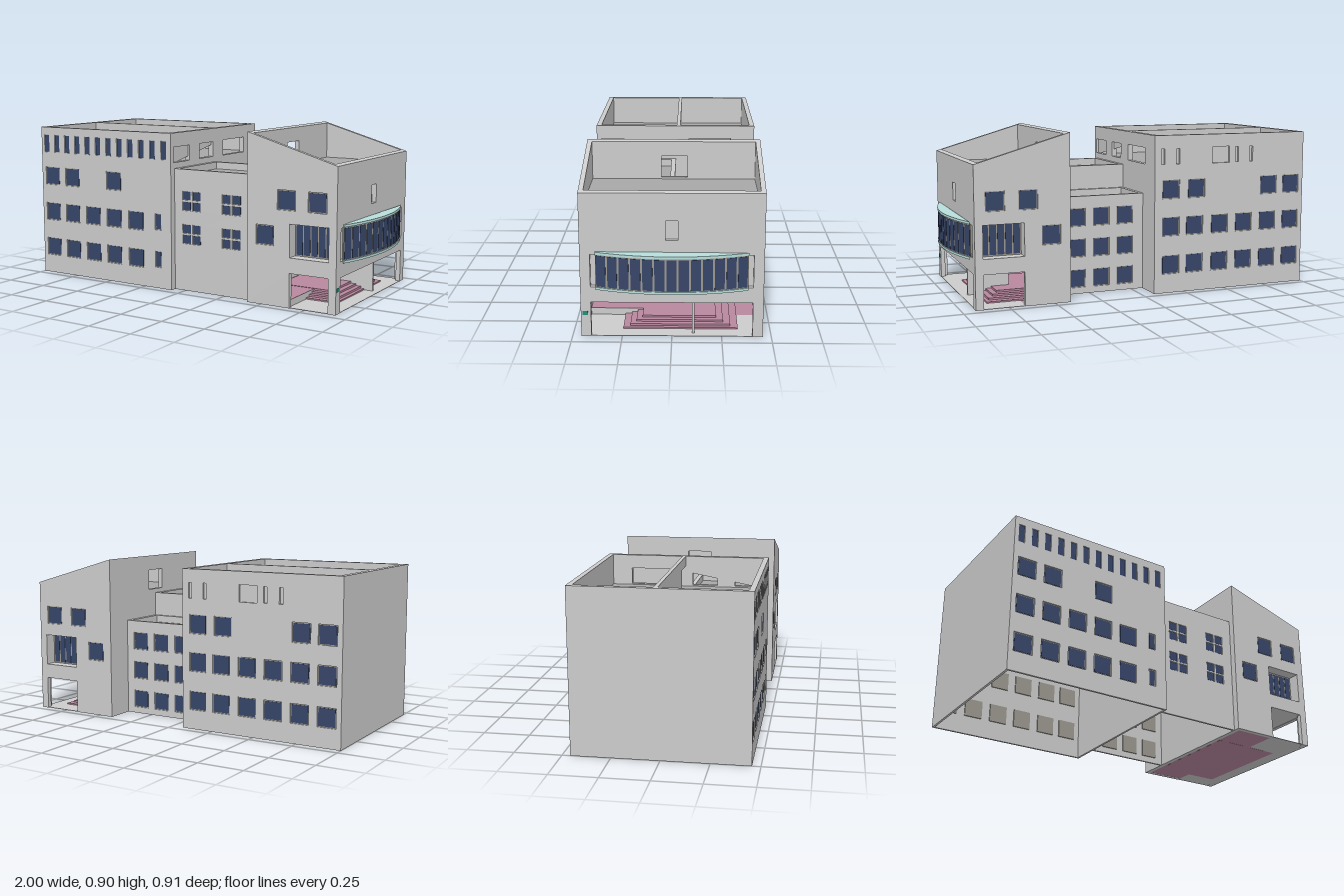
import * as THREE from 'three';

const mat = (color) => new THREE.MeshStandardMaterial({ color });
const GREY = mat(0xcccccc), ROOF = mat(0xa8a8a8), FRAME = mat(0x9a978f), BLUE = mat(0x364568);
const TEAL = mat(0xb8dedb), PINK = mat(0xb8889f), GREEN = mat(0x1f8f78);
const THIN = 0.012, THICK = 0.025; // wall thicknesses

export function createModel() {
  const root = new THREE.Group();
  root.name = 'building';

  const section = (name) => {
    const g = new THREE.Group();
    g.name = name;
    root.add(g);
    return g;
  };

  // Box given by its limits on each axis
  const block = (parent, name, x0, x1, y0, y1, z0, z1, m = GREY) => {
    const mesh = new THREE.Mesh(new THREE.BoxGeometry(x1 - x0, y1 - y0, z1 - z0), m);
    mesh.position.set((x0 + x1) / 2, (y0 + y1) / 2, (z0 + z1) / 2);
    mesh.name = name;
    parent.add(mesh);
  };

  // Upright slab from an outline and rectangular holes [centre u, centre y, width, height]
  const slab = (outline, holes, depth) => {
    const s = new THREE.Shape(outline.map(([u, y]) => new THREE.Vector2(u, y)));
    for (const [u, y, w, h] of holes) {
      const a = w / 2, b = h / 2;
      s.holes.push(new THREE.Path([[-a, -b], [-a, b], [a, b], [a, -b]]
        .map(([p, q]) => new THREE.Vector2(u + p, y + q))));
    }
    return new THREE.ExtrudeGeometry(s, { depth, bevelEnabled: false });
  };

  // Wall across x, from z to z + depth
  const wallX = (parent, name, outline, holes, z, depth) => {
    const mesh = new THREE.Mesh(slab(outline, holes, depth), GREY);
    mesh.position.z = z;
    mesh.name = name;
    parent.add(mesh);
  };

  // Wall across z (outline in z, y), from x - depth to x
  const wallZ = (parent, name, outline, holes, x, depth) => {
    const mesh = new THREE.Mesh(slab(outline, holes, depth), GREY);
    mesh.rotation.y = -Math.PI / 2;
    mesh.position.x = x;
    mesh.name = name;
    parent.add(mesh);
    return mesh;
  };

  const rect = (u0, u1, y1, y0 = 0) => [[u0, y0], [u1, y0], [u1, y1], [u0, y1]];

  // Recessed windows in a wall whose outer face is at z and looks towards dir
  const windows = (parent, list, z, dir, border = 0.005, inset = 0.012, panes = 1) => {
    for (const [x, y, w, h] of list) {
      const g = new THREE.Group();
      g.name = 'window';
      g.position.set(x, y, z - dir * inset);
      block(g, 'windowFrame', -w / 2, w / 2, -h / 2, h / 2, -0.006, 0.006, FRAME);
      const pitch = (w - border) / panes;
      for (let i = 0; i < panes; i++) {
        const c = (i - (panes - 1) / 2) * pitch, half = (pitch - border) / 2;
        block(g, 'windowPane', c - half, c + half, -h / 2 + border, h / 2 - border,
          dir > 0 ? 0 : -0.008, dir > 0 ? 0.008 : 0, BLUE);
      }
      parent.add(g);
    }
  };

  // ---- Main block: thin walls, thicker parapet, divider and sunken roof ----
  const main = section('mainBlock');
  const X1 = -0.069, Z0 = -0.457, Z1 = 0.456;
  const cols = [-0.92, -0.77, -0.617, -0.465, -0.31];
  const front = [-0.92, -0.77, -0.465].map((x) => [x, 0.583, 0.104, 0.105]);
  for (const y of [0.37, 0.158]) {
    cols.forEach((x) => front.push([x, y, 0.104, 0.104]));
    front.push([-0.157, y + 0.006, 0.042, 0.092]);
  }
  const slits = [];
  for (let i = 0; i < 12; i++) slits.push([-0.96 + i * 0.0767, 0.774, 0.036, 0.102]);
  wallX(main, 'frontWall', rect(-1, X1, 0.87), [...front, ...slits], Z1 - THIN, THIN);
  windows(main, front, Z1, 1);
  windows(main, slits, Z1, 1, 0.002);

  const back = [-0.166, -0.32, -0.775, -0.92].map((x) => [x, 0.575, 0.104, 0.104]);
  for (const y of [0.37, 0.158])
    [-0.166, ...cols].forEach((x) => back.push([x, y, 0.104, 0.104]));
  const niches = [-0.117, -0.208, -0.57, -0.66].map((x) => [x, 0.755, 0.02, 0.085]);
  niches.push([-0.47, 0.755, 0.105, 0.09]);
  wallX(main, 'backWall', rect(-1, X1, 0.87), [...back, ...niches], Z0, THIN);
  windows(main, back, Z0, -1);

  const zi0 = Z0 + THIN, zi1 = Z1 - THIN;
  const openings = [[0.35, 0.75, 0.16, 0.085], [0.1, 0.75, 0.14, 0.085], [-0.2, 0.75, 0.24, 0.09]];
  wallZ(main, 'rightWall', rect(zi0, zi1, 0.87), [], -1 + THIN, THIN);
  wallZ(main, 'leftWall', rect(zi0, zi1, 0.87), openings, X1, THIN);
  block(main, 'roof', -1 + THIN, X1 - THIN, 0.68, 0.7, zi0, zi1, ROOF);
  // Inner parapet lining
  block(main, 'parapet', -1 + THIN, X1 - THIN, 0.7, 0.87, zi1 - 0.016, zi1);
  block(main, 'parapet', -1 + THIN, X1 - THIN, 0.7, 0.87, zi0, zi0 + 0.016);
  const pz0 = zi0 + 0.016, pz1 = zi1 - 0.016;
  wallZ(main, 'parapet', rect(pz0, pz1, 0.87, 0.7), [], -0.97, 0.018);
  wallZ(main, 'parapet', rect(pz0, pz1, 0.87, 0.7), openings, X1 - THIN, 0.018);
  // Divider with a doorway at its inner end
  block(main, 'divider', -0.97, -0.24, 0.7, 0.87, -0.03, -0.01);
  block(main, 'dividerLintel', -0.24, X1 - 0.03, 0.815, 0.87, -0.03, -0.01);

  // ---- Link: taller front half, lower back half ----
  const link = section('linkBlock');
  const X2 = 0.414;
  const small = [];
  for (const x of [0.01, 0.074, 0.264, 0.327])
    for (const y of [0.53, 0.472, 0.346, 0.288]) small.push([x, y, 0.054, 0.05]);
  wallX(link, 'frontWall', rect(X1, X2, 0.675), small, 0.42 - THIN, THIN);
  windows(link, small, 0.42, 1, 0.003);
  const rear = [];
  for (const x of [0.04, 0.18, 0.32])
    for (const y of [0.425, 0.255, 0.085]) rear.push([x, y, 0.096, 0.1]);
  wallX(link, 'backWall', rect(X1, X2, 0.54), rear, -0.295, THIN);
  windows(link, rear, -0.295, -1);
  block(link, 'middleWall', X1, X2, 0.48, 0.675, -0.005, 0.02);
  block(link, 'parapet', X1, X2, 0.5, 0.54, -0.022, -0.005);
  for (const [z0, z1, top] of [[-0.295 + THIN, -0.022, 0.54], [0.02, 0.42 - THIN, 0.675]]) {
    block(link, 'roof', X1, X2, top - 0.06, top - 0.04, z0, z1, ROOF);
    for (const x of [X1, X2 - 0.02])
      block(link, 'parapet', x, x + 0.02, top - 0.04, top, z0, z1);
  }
  block(link, 'parapet', X1 + 0.02, X2 - 0.02, 0.635, 0.675, 0.4, 0.42 - THIN);
  block(link, 'parapet', X1 + 0.02, X2 - 0.02, 0.5, 0.54, -0.295 + THIN, -0.275);

  // ---- Hall with sloping top and open ground floor ----
  const hall = section('slopedHall');
  const X3 = 0.928;
  const gable = [[X2, 0], [0.665, 0], [0.665, 0.183], [0.885, 0.183], [0.885, 0],
    [X3, 0], [X3, 0.75], [X2, 0.9]];
  const hallWins = [[0.644, 0.56, 0.104, 0.104], [0.82, 0.56, 0.104, 0.104],
    [0.52, 0.37, 0.104, 0.104]];
  const wide = [0.775, 0.352, 0.22, 0.175];
  for (const [name, z, dir] of [['frontWall', Z1, 1], ['backWall', Z0, -1]]) {
    wallX(hall, name, gable, [...hallWins, wide], dir > 0 ? z - THICK : z, THICK);
    windows(hall, hallWins, z, dir);
    windows(hall, [wide], z, dir, 0.007, 0.072, 5);
    // Deep reveal round the wide window
    wallX(hall, 'windowReveal', rect(0.655, 0.895, 0.45, 0.255), [wide],
      dir > 0 ? z - 0.08 : z + THICK, 0.08 - THICK);
  }
  const za = Z0 + THICK, zb = Z1 - THICK;
  const ends = [
    wallZ(hall, 'leftWall', [[za, 0], [-0.405, 0], [-0.405, 0.183], [0.405, 0.183],
      [0.405, 0], [zb, 0], [zb, 0.75], [za, 0.75]],
    [[0, 0.56, 0.062, 0.1], [0, 0.35, 0.81, 0.17]], X3, THICK),
    wallZ(hall, 'rightWall', rect(za, zb, 0.9), [[-0.004, 0.757, 0.138, 0.115]], X2 + THICK, THICK),
  ];
  // Tilt the tops of the end walls to the line of the gables
  ends.forEach((mesh, i) => {
    const p = mesh.geometry.attributes.position, top = [0.75, 0.9][i];
    for (let k = 0; k < p.count; k++)
      if (p.getY(k) > top - 0.001)
        p.setY(k, 0.75 + (0.15 / (X3 - X2)) * (X3 - mesh.position.x + p.getZ(k)));
    mesh.geometry = mesh.geometry.toNonIndexed();
    mesh.geometry.computeVertexNormals();
  });
  block(hall, 'slotBack', 0.893, 0.903, 0.5, 0.62, -0.04, 0.04);
  block(hall, 'bayBack', 0.888, 0.903, 0.255, 0.445, -0.376, 0.375);
  block(hall, 'roof', X2 + THICK, X3 - THICK, 0.67, 0.69, za, zb, ROOF);
  block(hall, 'ceiling', X2 + THICK, X3 - THICK, 0.185, 0.2, za, zb);
  block(hall, 'partition', 0.66, 0.89, 0.003, 0.17, -0.113, -0.1);
  block(hall, 'floor', 0.66, X3 - 0.001, 0.0005, 0.003, Z0 + 0.001, Z1 - 0.001);
  block(hall, 'platform', X2 + THICK, 0.66, 0.002, 0.038, -0.1, zb);
  block(hall, 'platformTop', X2 + THICK, 0.66, 0.038, 0.04, -0.1, zb, PINK);
  block(hall, 'platformBase', X2 + THICK, 0.66, 0.0005, 0.002, za, zb, PINK);
  block(hall, 'plaque', X3 - 0.001, X3 + 0.002, 0.115, 0.135, 0.421, 0.447, GREEN);

  // Entrance steps, each tier smaller than the one below
  [[0.84, -0.335, 0.25], [0.82, -0.297, 0.215], [0.79, -0.26, 0.185], [0.76, -0.225, 0.155]]
    .forEach(([x1, z0, z1], i) =>
      block(hall, 'step', 0.445, x1, i * 0.0105, (i + 1) * 0.0105, z0, z1, PINK));

  // ---- Curved bay window ----
  const bay = section('bayWindow');
  const R = 1.143, cx = 1 - R, A = Math.asin(0.38 / R);
  const plan = new THREE.Shape();
  plan.moveTo(X3, -0.38);
  plan.absarc(cx, 0, R, -A, A, false);
  plan.lineTo(X3, 0.38);
  for (const y of [0.45, 0.266]) {
    const g = new THREE.ExtrudeGeometry(plan, { depth: 0.013, bevelEnabled: false, curveSegments: 26 });
    const mesh = new THREE.Mesh(g.rotateX(Math.PI / 2), TEAL);
    mesh.position.y = y;
    mesh.name = 'baySlab';
    bay.add(mesh);
  }
  const N = 13, pitch = (2 * A * R) / N;
  for (let i = 0; i < N; i++) {
    const a = -A + ((i + 0.5) * 2 * A) / N;
    const g = new THREE.Group();
    g.name = 'bayPanel';
    g.position.set(cx + (R - 0.01) * Math.cos(a), 0.351, (R - 0.01) * Math.sin(a));
    g.rotation.y = -a;
    block(g, 'bayFrame', -0.005, 0.005, -0.086, 0.086, -pitch / 2, pitch / 2, FRAME);
    block(g, 'bayPane', 0, 0.007, -0.08, 0.08, -pitch / 2 + 0.005, pitch / 2 - 0.005, BLUE);
    bay.add(g);
  }
  return root;
}
